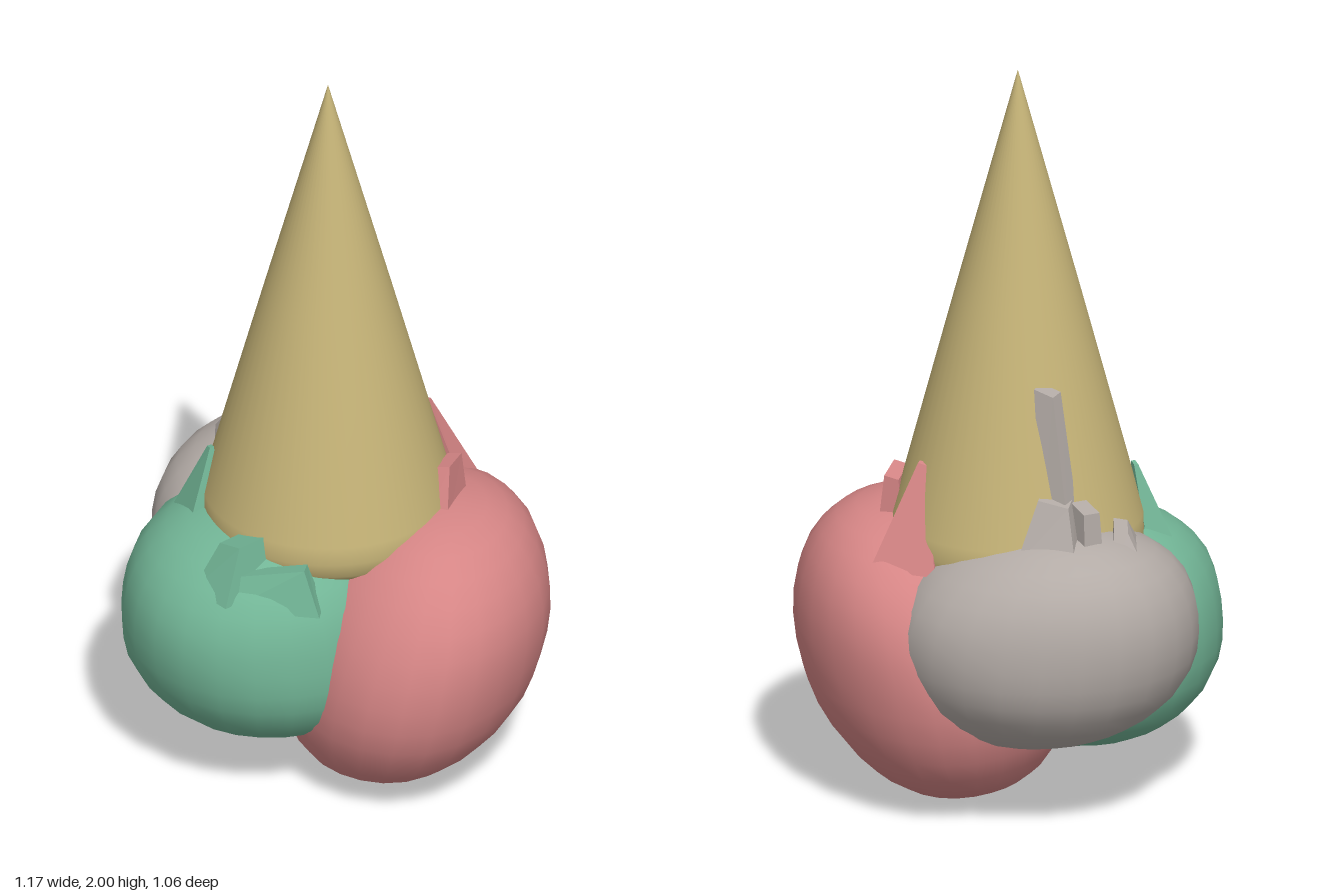
import * as THREE from 'three';

const ROWS = 18, COLS = 24;

// Slightly squashed, uneven ball: squarer from the side than from above,
// leaning by shear and skewed along one diagonal of the plan
function scoopGeometry(center, radii, { leanX, leanZ, skew, power, seed }) {
  const geo = new THREE.SphereGeometry(1, COLS, ROWS);
  const pos = geo.attributes.position;
  const v = new THREE.Vector3();
  for (let i = 0; i < pos.count; i++) {
    v.fromBufferAttribute(pos, i);
    const norm = Math.pow(Math.pow(Math.hypot(v.x, v.z), power) + Math.pow(Math.abs(v.y), power), -1 / power);
    const ripple = 1 + 0.012 * Math.sin(4 * v.x + seed) * Math.cos(5 * v.y - seed) + 0.008 * Math.sin(6 * v.z + 2 * seed);
    v.multiplyScalar(norm * ripple);
    const shiftX = leanX * v.y + skew * v.z;
    const shiftZ = leanZ * v.y + skew * v.x;
    v.multiply(radii).add(center);
    pos.setXYZ(i, v.x + shiftX, v.y, v.z + shiftZ);
  }
  geo.computeVertexNormals();
  // share normals across the seam
  const normal = geo.attributes.normal;
  const w = new THREE.Vector3();
  for (let row = 0; row <= ROWS; row++) {
    const a = row * (COLS + 1), b = a + COLS;
    v.fromBufferAttribute(normal, a).add(w.fromBufferAttribute(normal, b)).normalize();
    normal.setXYZ(a, v.x, v.y, v.z);
    normal.setXYZ(b, v.x, v.y, v.z);
  }
  return geo;
}

// Angular tapered drip running from a base point to a top point
function dripGeometry(base, top, width, depth, taper, yaw) {
  const geo = new THREE.BoxGeometry(width, 1, depth);
  const pos = geo.attributes.position;
  const v = new THREE.Vector3();
  const axis = new THREE.Vector3();
  for (let i = 0; i < pos.count; i++) {
    v.fromBufferAttribute(pos, i);
    const t = v.y + 0.5;
    axis.lerpVectors(base, top, t);
    v.setY(0).multiplyScalar(1 + (taper - 1) * t).applyAxisAngle(THREE.Object3D.DEFAULT_UP, yaw).add(axis);
    // uneven top edge
    pos.setXYZ(i, v.x, v.y + t * 0.25 * (v.x - axis.x), v.z);
  }
  geo.computeVertexNormals();
  return geo;
}

const vec = (x, y, z) => new THREE.Vector3(x, y, z);

function makeScoop(name, color, ball, drips) {
  const group = new THREE.Group();
  group.name = name;
  const scoop = new THREE.Mesh(scoopGeometry(...ball), new THREE.MeshStandardMaterial({ color }));
  scoop.name = 'scoop';
  group.add(scoop);
  for (const drip of drips) {
    const mesh = new THREE.Mesh(dripGeometry(...drip), new THREE.MeshStandardMaterial({ color, flatShading: true }));
    mesh.name = 'drip';
    group.add(mesh);
  }
  return group;
}

export function createModel() {
  const model = new THREE.Group();
  model.name = 'upturnedIceCreamCone';

  // Wafer cone with a rounded rim
  const profile = [[0, 0.66], [0.25, 0.66], [0.3, 0.668], [0.322, 0.69], [0.329, 0.73], [0.326, 0.78], [0.167, 1.38], [0, 2]];
  const cone = new THREE.Mesh(
    new THREE.LatheGeometry(profile.map(([r, y]) => new THREE.Vector2(r, y)), 48),
    new THREE.MeshStandardMaterial({ color: 0xc5b377 })
  );
  cone.name = 'cone';
  cone.position.set(-0.032, 0, -0.025);
  model.add(cone);

  // Front scoop: pointed drip, lump on the rim, tail running round the rim
  model.add(makeScoop('greenScoop', 0x72b596,
    [vec(-0.08, 0.45, 0.15), vec(0.38, 0.315, 0.372), { leanX: 0, leanZ: 0.01, skew: 0, power: 2.3, seed: 1 }], [
      [vec(-0.245, 0.68, 0.255), vec(-0.22, 0.9, 0.215), 0.13, 0.08, 0.15, -0.35],
      [vec(0.03, 0.64, 0.36), vec(0.03, 0.775, 0.32), 0.13, 0.15, 0.6, 0],
      [vec(0.15, 0.62, 0.31), vec(0.13, 0.72, 0.3), 0.24, 0.07, 0.7, 0.7],
    ]));

  // Lowest scoop: tall wedge at the back, low block on the side
  model.add(makeScoop('pinkScoop', 0xd58585,
    [vec(0.175, 0.397, -0.14), vec(0.4, 0.395, 0.388), { leanX: 0.06, leanZ: -0.05, skew: 0.05, power: 2.2, seed: 2.6 }], [
      [vec(0.03, 0.69, -0.36), vec(0.04, 0.96, -0.295), 0.18, 0.1, 0.15, 0.45],
      [vec(0.23, 0.72, -0.2), vec(0.21, 0.88, -0.23), 0.17, 0.07, 0.55, -1.05],
    ]));

  // Side scoop: broad foot, long drip up the cone, short block, low wedge
  model.add(makeScoop('greyScoop', 0xb3aba6,
    [vec(-0.21, 0.51, -0.1), vec(0.37, 0.305, 0.375), { leanX: -0.04, leanZ: 0, skew: -0.03, power: 2.2, seed: 4.2 }], [
      [vec(-0.31, 0.75, -0.18), vec(-0.3, 0.91, -0.15), 0.16, 0.1, 0.5, 0.6],
      [vec(-0.3, 0.82, -0.13), vec(-0.24, 1.19, -0.12), 0.08, 0.06, 0.7, 0.3],
      [vec(-0.36, 0.72, -0.095), vec(-0.355, 0.89, -0.095), 0.08, 0.06, 0.8, -0.2],
      [vec(-0.4, 0.72, 0.02), vec(-0.38, 0.82, 0.01), 0.17, 0.09, 0.4, -0.75],
    ]));

  return model;
}
